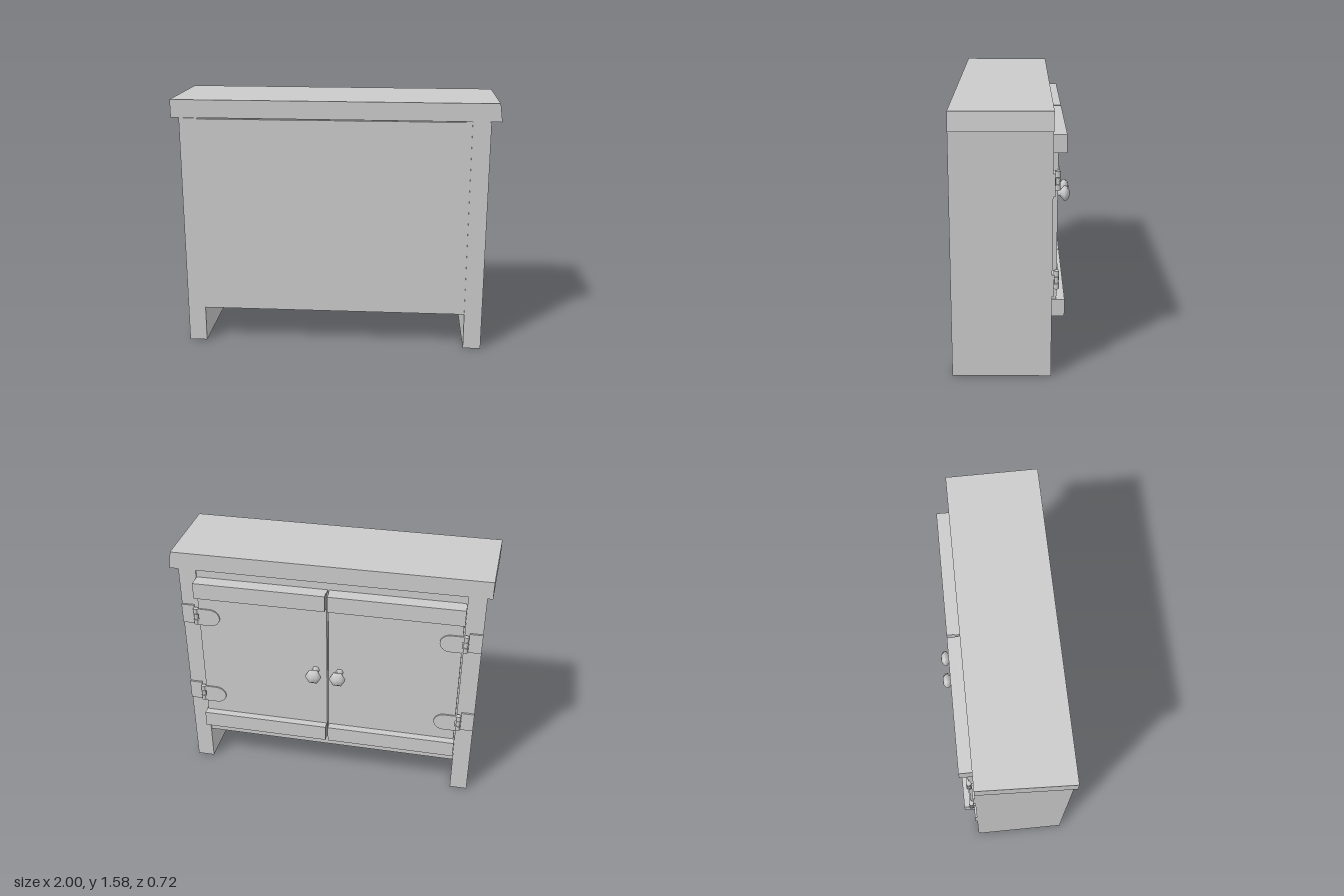
import * as THREE from 'three';

const material = new THREE.MeshStandardMaterial({ color: 0xcccccc });

function add(parent, name, geometry) {
  const mesh = new THREE.Mesh(geometry, material);
  mesh.name = name;
  parent.add(mesh);
  return mesh;
}

// Box given by its limits on each axis
function board(parent, name, [x0, x1], [y0, y1], [z0, z1]) {
  const g = new THREE.BoxGeometry(x1 - x0, y1 - y0, z1 - z0);
  g.translate((x0 + x1) / 2, (y0 + y1) / 2, (z0 + z1) / 2);
  return add(parent, name, g);
}

// Same limits, mirrored to the chosen side of the cabinet
const onSide = (s, a, b) => (s > 0 ? [a, b] : [-b, -a]);

// Hand-cut top: two ends are slightly out of square
function createTop(parent) {
  const top = board(parent, 'top', [-1, 1], [1.47, 1.58], [-0.22, 0.35]);
  const p = top.geometry.attributes.position;
  for (let i = 0; i < p.count; i++) {
    if (p.getX(i) < 0 && p.getZ(i) < 0) p.setX(i, -0.98);
    if (p.getX(i) > 0) p.setX(i, (p.getY(i) > 1.5 ? 0.985 : 1) - (p.getZ(i) < 0 ? 0.006 : 0));
  }
  top.geometry.computeVertexNormals();
}

// Hinge: plate on the post, rounded leaf on the door, knuckles between
function createHinge(parent, s, y) {
  const hinge = new THREE.Group();
  hinge.name = 'hinge';
  board(hinge, 'postPlate', [0.862, 0.943], [-0.065, 0.065], [-0.232, -0.21]);
  board(hinge, 'postPlateNeck', [0.838, 0.865], [-0.024, 0.024], [-0.236, -0.22]);

  const leaf = new THREE.Shape();
  leaf.moveTo(0.826, -0.058);
  leaf.lineTo(0.755, -0.058);
  leaf.absellipse(0.755, 0, 0.065, 0.058, -Math.PI / 2, -Math.PI * 1.5, true);
  leaf.lineTo(0.826, 0.058);
  leaf.closePath();
  const leafGeometry = new THREE.ExtrudeGeometry(leaf, { depth: 0.012, bevelEnabled: false, curveSegments: 8 });
  leafGeometry.translate(0, 0, -0.259);
  add(hinge, 'doorLeaf', leafGeometry);

  for (const [ky, h, r] of [[-0.038, 0.034, 0.016], [0, 0.036, 0.014], [0.038, 0.034, 0.016]]) {
    const k = add(hinge, 'knuckle', new THREE.CylinderGeometry(r, r, h, 8));
    k.position.set(0.846, ky, -0.248);
  }
  for (const ky of [-0.038, 0.038]) {
    board(hinge, 'leafNeck', [0.815, 0.848], [ky - 0.017, ky + 0.017], [-0.259, -0.247]);
  }
  // The hinge is symmetric in y, so a half turn serves the other side
  if (s < 0) hinge.rotation.z = Math.PI;
  hinge.position.y = y;
  parent.add(hinge);
}

// Six-sided turned knob pointing to -z
function createKnob(parent, s) {
  const profile = [[0.026, 0], [0.02, 0.012], [0.02, 0.05], [0.03, 0.058], [0.051, 0.075],
    [0.051, 0.09], [0.03, 0.108], [0, 0.112]].map(([r, h]) => new THREE.Vector2(r, h));
  const g = new THREE.LatheGeometry(profile, 6, Math.PI / 2);
  g.rotateX(-Math.PI / 2);
  const knob = add(parent, 'knob', g);
  knob.position.set(s * 0.077, 0.855, -0.248);
}

function createDoor(parent, s) {
  const door = new THREE.Group();
  door.name = s > 0 ? 'leftDoor' : 'rightDoor';
  const x = onSide(s, 0.008, 0.832);
  board(door, 'doorPanel', onSide(s, 0.005, 0.825), [0.33, 1.42], [-0.25, -0.2]);
  board(door, 'lowerRail', x, [0.33, 0.435], [-0.298, -0.22]);
  board(door, 'upperRail', x, [1.315, 1.42], [-0.298, -0.22]);
  createKnob(door, s);
  for (const y of [0.567, 1.16]) createHinge(door, s, y);
  parent.add(door);
}

export function createModel() {
  const cabinet = new THREE.Group();
  cabinet.name = 'cabinet';
  createTop(cabinet);

  const body = new THREE.Group();
  body.name = 'body';
  body.position.x = -0.006;
  cabinet.add(body);

  // Carcass closed by a slightly skewed large panel
  board(body, 'carcass', [-0.832, 0.832], [0.23, 1.47], [-0.21, 0.34]);
  const panel = board(body, 'largePanel', [-0.832, 0.832], [0.23, 1.465], [0.32, 0.352]);
  const p = panel.geometry.attributes.position;
  for (let i = 0; i < p.count; i++) {
    if (p.getZ(i) > 0.34) p.setZ(i, p.getX(i) < 0 ? 0.36 : 0.348);
  }
  panel.geometry.computeVertexNormals();

  // Full-height sides that run down into the feet, and the doors
  for (const s of [1, -1]) {
    board(body, s > 0 ? 'leftSide' : 'rightSide', onSide(s, 0.832, 0.943), [0, 1.47], [-0.22, 0.355]);
    createDoor(body, s);
  }
  return cabinet;
}
